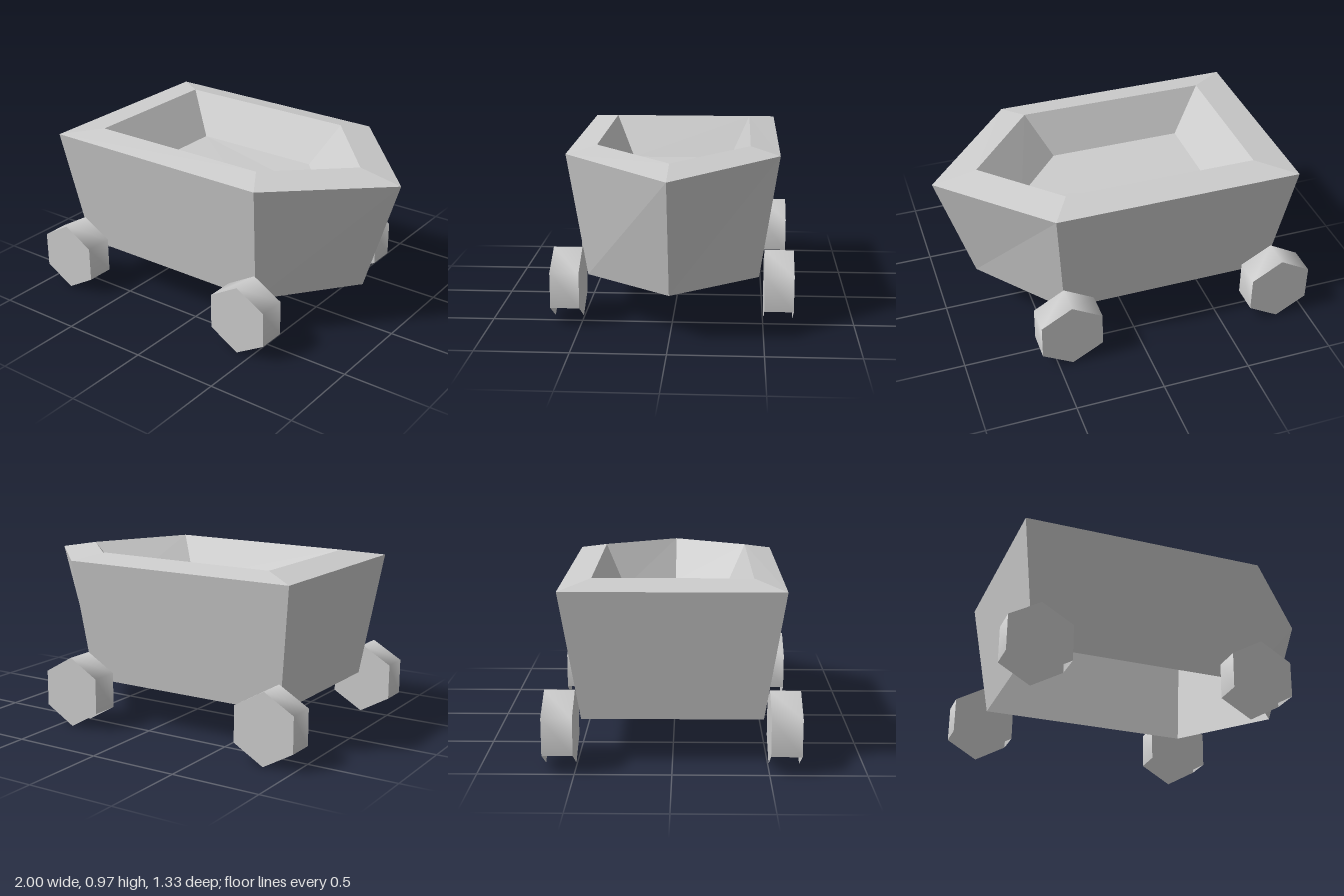
import * as THREE from 'three';

const grey = new THREE.MeshStandardMaterial({ color: 0xcccccc, side: THREE.DoubleSide });
grey.name = 'light grey';

// Five-cornered outline with a pointed nose at +x
function outline(back, shoulder, nose, halfWidth, yBack, yShoulder, yNose) {
  return [
    [back, yBack, -halfWidth],
    [back, yBack, halfWidth],
    [shoulder, yShoulder, halfWidth],
    [nose, yNose, 0],
    [shoulder, yShoulder, -halfWidth],
  ];
}

function meshFrom(name, positions) {
  const geometry = new THREE.BufferGeometry();
  geometry.setAttribute('position', new THREE.Float32BufferAttribute(positions, 3));
  geometry.computeVertexNormals();
  const mesh = new THREE.Mesh(geometry, grey);
  mesh.name = name;
  return mesh;
}

// Flat-shaded band joining two outlines
function band(name, low, high) {
  const positions = [];
  low.forEach((a, i) => {
    const j = (i + 1) % low.length;
    positions.push(...a, ...low[j], ...high[j], ...a, ...high[j], ...high[i]);
  });
  return meshFrom(name, positions);
}

function fan(name, loop) {
  const positions = [];
  for (let i = 1; i < loop.length - 1; i++) positions.push(...loop[0], ...loop[i], ...loop[i + 1]);
  return meshFrom(name, positions);
}

// Hexagonal wheel: two full caps and a tread that is open underneath
function makeWheel(x, z) {
  const radius = 0.2, width = 0.16;
  const wheel = new THREE.Group();
  wheel.name = 'wheel';
  const treadGeometry = new THREE.CylinderGeometry(
    radius, radius, width, 4, 1, true, Math.PI / 3, Math.PI * 4 / 3);
  treadGeometry.rotateX(Math.PI / 2);
  treadGeometry.computeVertexNormals();
  const tread = new THREE.Mesh(treadGeometry, grey);
  tread.name = 'wheelTread';
  wheel.add(tread);
  for (const side of [1, -1]) {
    const cap = new THREE.Mesh(new THREE.CircleGeometry(radius, 6, Math.PI / 2), grey);
    cap.name = 'wheelCap';
    cap.position.z = side * width / 2;
    if (side < 0) cap.rotation.y = Math.PI;
    wheel.add(cap);
  }
  wheel.position.set(x, radius, z);
  return wheel;
}

export function createModel() {
  const model = new THREE.Group();
  model.name = 'cart';

  // Body: open underneath, with a raised rim and a shallow tray
  const base = outline(-0.82, 0.405, 0.8, 0.477, 0.24, 0.24, 0.25);
  const rimOuter = outline(-0.915, 0.465, 1, 0.58, 0.935, 0.935, 0.9);
  const rimInner = outline(-0.71, 0.365, 0.75, 0.42, 0.967, 0.97, 0.946);
  const tray = outline(-0.535, 0.23, 0.505, 0.302, 0.73, 0.73, 0.72);
  model.add(
    band('bodyWalls', base, rimOuter),
    band('rim', rimOuter, rimInner),
    band('trayWalls', rimInner, tray),
    fan('trayFloor', tray),
  );

  // Four wheels
  for (const x of [-0.828, 0.417]) {
    for (const z of [-0.585, 0.585]) model.add(makeWheel(x, z));
  }
  return model;
}
